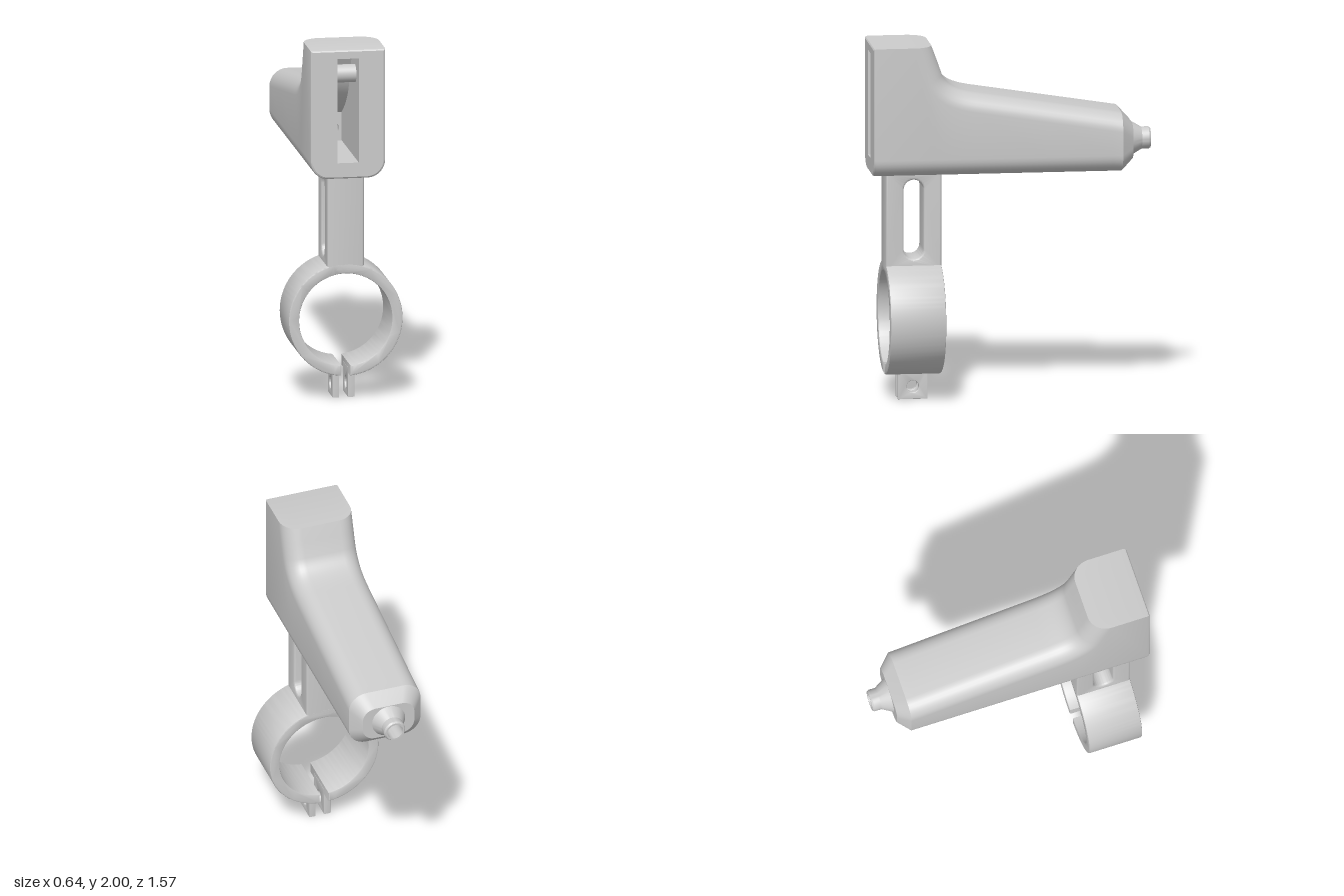
import * as THREE from 'three';
import { toCreasedNormals } from 'three/addons/utils/BufferGeometryUtils.js';

const V2 = (x, y) => new THREE.Vector2(x, y);
const HALF = 0.21, ROUND = 0.1, AXIS_Y = 1.43;

// Circular hole for a shape
function circle(x, y, r) {
  return new THREE.Path().absarc(x, y, r, 0, Math.PI * 2, true);
}

// Shape drawn in (z, y), extruded across x and centred on the given x
function extrudeAcross(shape, width, centreX, bevel) {
  const g = new THREE.ExtrudeGeometry(shape, {
    depth: width - 2 * bevel, curveSegments: 20, bevelEnabled: bevel > 0,
    bevelSize: bevel, bevelThickness: bevel, bevelOffset: -bevel, bevelSegments: 3,
  });
  g.translate(0, 0, -(width - 2 * bevel) / 2).rotateY(-Math.PI / 2).translate(centreX, 0, 0);
  return toCreasedNormals(g, 0.6);
}

function rect(x0, y0, x1, y1, Type = THREE.Shape) {
  return new Type([V2(x0, y0), V2(x1, y0), V2(x1, y1), V2(x0, y1)]);
}

// One body cross-section; (dz, dy) is the inward direction of the top edge rounding
function bodyRing(z, top, dz, dy, base = 1.27, s = 1) {
  const half = [], n = 8;
  for (let i = 0; i <= n; i++) {
    const a = (i / n - 1) * Math.PI / 2;
    half.push([s * (HALF - ROUND + ROUND * Math.cos(a)), base + s * ROUND * (1 + Math.sin(a)), z]);
  }
  for (let i = 0; i <= n; i++) {
    const a = (i / n) * Math.PI / 2, inset = s * ROUND * (1 - Math.sin(a));
    half.push([s * (HALF - ROUND + ROUND * Math.cos(a)), top + dy * inset, z + dz * inset]);
  }
  return [...half, ...half.slice().reverse().map(([x, y, zz]) => [-x, y, zz])];
}

// Skin between successive rings that run from front to back
function skin(rings) {
  const n = rings[0].length, index = [];
  for (let i = 0; i < rings.length - 1; i++) {
    for (let j = 0; j < n; j++) {
      const a = i * n + j, b = i * n + (j + 1) % n, c = b + n, d = a + n;
      index.push(a, d, b, b, d, c);
    }
  }
  const g = new THREE.BufferGeometry();
  g.setAttribute('position', new THREE.Float32BufferAttribute(rings.flat(2), 3));
  g.setIndex(index);
  return toCreasedNormals(g, 0.5);
}

export function createModel() {
  const model = new THREE.Group();
  const mat = new THREE.MeshStandardMaterial({ color: 0xcccccc });
  const thin = new THREE.MeshStandardMaterial({ color: 0xcccccc, side: THREE.DoubleSide });
  const add = (name, geometry, material = mat) => {
    const mesh = new THREE.Mesh(geometry, material);
    mesh.name = name;
    model.add(mesh);
    return mesh;
  };

  // Body: tall head, concave fillet and tapering tail
  const ridge = [V2(0.42, 1.92), V2(0.39, 1.835)];
  const fillet = new THREE.CubicBezierCurve(
    V2(0.39, 1.835), V2(0.36, 1.765), V2(0.29, 1.745), V2(0.2, 1.73));
  ridge.push(...fillet.getPoints(12).slice(1), V2(-0.2, 1.666), V2(-0.56, 1.608));
  const front = bodyRing(0.78, 1.99, 0, 0, 1.28, 0.95);
  const back = bodyRing(-0.675, 1.53, 0, -1, 1.33, 0.72);
  const rings = [front, bodyRing(0.775, 1.997, 0, 0, 1.273, 0.985),
    bodyRing(0.765, 2, 0, 0), bodyRing(0.45, 2, 1.06, 0)];
  ridge.forEach((p, i) => {
    const t = ridge[Math.min(i + 1, ridge.length - 1)].clone().sub(ridge[Math.max(i - 1, 0)]).normalize();
    rings.push(bodyRing(p.x, p.y, -t.y, t.x));
  });
  rings.push(bodyRing(-0.61, 1.6, 0, -1), back);
  add('body', skin(rings));

  // Front face with its tall slot
  const outline = (ring) => new THREE.Shape(ring.map(([x, y]) => V2(x, y)));
  const frontShape = outline(front);
  frontShape.holes.push(rect(-0.06, 1.36, 0.06, 1.95, THREE.Path));
  add('frontFace', new THREE.ShapeGeometry(frontShape).translate(0, 0, 0.78));

  // Tail end face, open behind the nozzle
  const backShape = outline(back);
  backShape.holes.push(circle(0, AXIS_Y, 0.08));
  add('tailFace', new THREE.ShapeGeometry(backShape).rotateY(Math.PI).translate(0, 0, -0.675));

  // Slot cavity: side walls, floor and curved roof
  const roof = new THREE.CatmullRomCurve3([[0.56, 1.95], [0.5, 1.84], [0.43, 1.7], [0.33, 1.6], [0.2, 1.52]]
    .map(([z, y]) => new THREE.Vector3(0, y, z))).getPoints(16);
  const section = [V2(0.78, 1.36), V2(0.2, 1.36), ...roof.reverse().map((p) => V2(p.z, p.y)), V2(0.78, 1.95)];
  for (const side of [-1, 1]) {
    const wall = new THREE.ShapeGeometry(new THREE.Shape(section)).rotateY(-Math.PI / 2);
    add('slotWall', wall.translate(side * 0.06, 0, 0), thin);
  }
  const ribbon = (name, points) => {
    const g = new THREE.PlaneGeometry(1, 1, 1, points.length - 1);
    const pos = g.attributes.position;
    points.forEach((p, i) => {
      pos.setXYZ(2 * i, -0.06, p.y, p.x);
      pos.setXYZ(2 * i + 1, 0.06, p.y, p.x);
    });
    add(name, toCreasedNormals(g, 0.5), thin);
  };
  ribbon('slotFloor', section.slice(0, 2));
  ribbon('slotRoof', section.slice(2));
  const innerWall = rect(-0.06, 1.36, 0.06, 1.52);
  innerWall.holes.push(circle(0, AXIS_Y, 0.045));
  add('slotBackWall', new THREE.ShapeGeometry(innerWall, 20).translate(0, 0, 0.2), thin);

  // Cross pin near the top of the slot
  const pin = add('crossPin', new THREE.CylinderGeometry(0.05, 0.05, 0.12, 32));
  pin.rotation.z = Math.PI / 2;
  pin.position.set(0, 1.84, 0.65);

  // Nozzle with a bore that reaches the slot
  const nozzle = new THREE.LatheGeometry([[0.1, 0.67], [0.062, 0.735], [0.062, 0.775], [0.055, 0.785],
    [0.045, 0.785], [0.045, -0.2]].map(([r, y]) => V2(r, y)), 40);
  nozzle.rotateX(-Math.PI / 2).translate(0, AXIS_Y, 0);
  add('nozzle', toCreasedNormals(nozzle, 0.4));

  // Post with a long rounded opening
  const post = rect(0.39, 0.735, 0.7, 1.285);
  const opening = new THREE.Path();
  opening.absarc(0.545, 1.185, 0.055, 0, Math.PI, false);
  opening.absarc(0.545, 0.85, 0.055, Math.PI, Math.PI * 2, false);
  opening.closePath();
  post.holes.push(opening);
  add('post', extrudeAcross(post, 0.206, 0, 0.012));

  // Split clamp ring
  const gap = (r) => Math.asin(0.025 / r), down = -Math.PI / 2;
  const ring = new THREE.Shape();
  ring.absarc(0, 0.455, 0.32, down + gap(0.32), down + Math.PI * 2 - gap(0.32), false);
  ring.absarc(0, 0.455, 0.26, down + Math.PI * 2 - gap(0.26), down + gap(0.26), true);
  ring.closePath();
  const clamp = new THREE.ExtrudeGeometry(ring, {
    depth: 0.294, curveSegments: 72, bevelSize: 0.008, bevelThickness: 0.008, bevelOffset: -0.008, bevelSegments: 2,
  });
  add('clampRing', toCreasedNormals(clamp.translate(0, 0, 0.398), 0.6));

  // Screw tabs either side of the split
  for (const side of [-1, 1]) {
    const tab = rect(0.463, 0, 0.627, 0.17);
    tab.holes.push(circle(0.545, 0.07, 0.034));
    add('clampTab', extrudeAcross(tab, 0.038, side * 0.043, 0.003));
  }
  return model;
}
